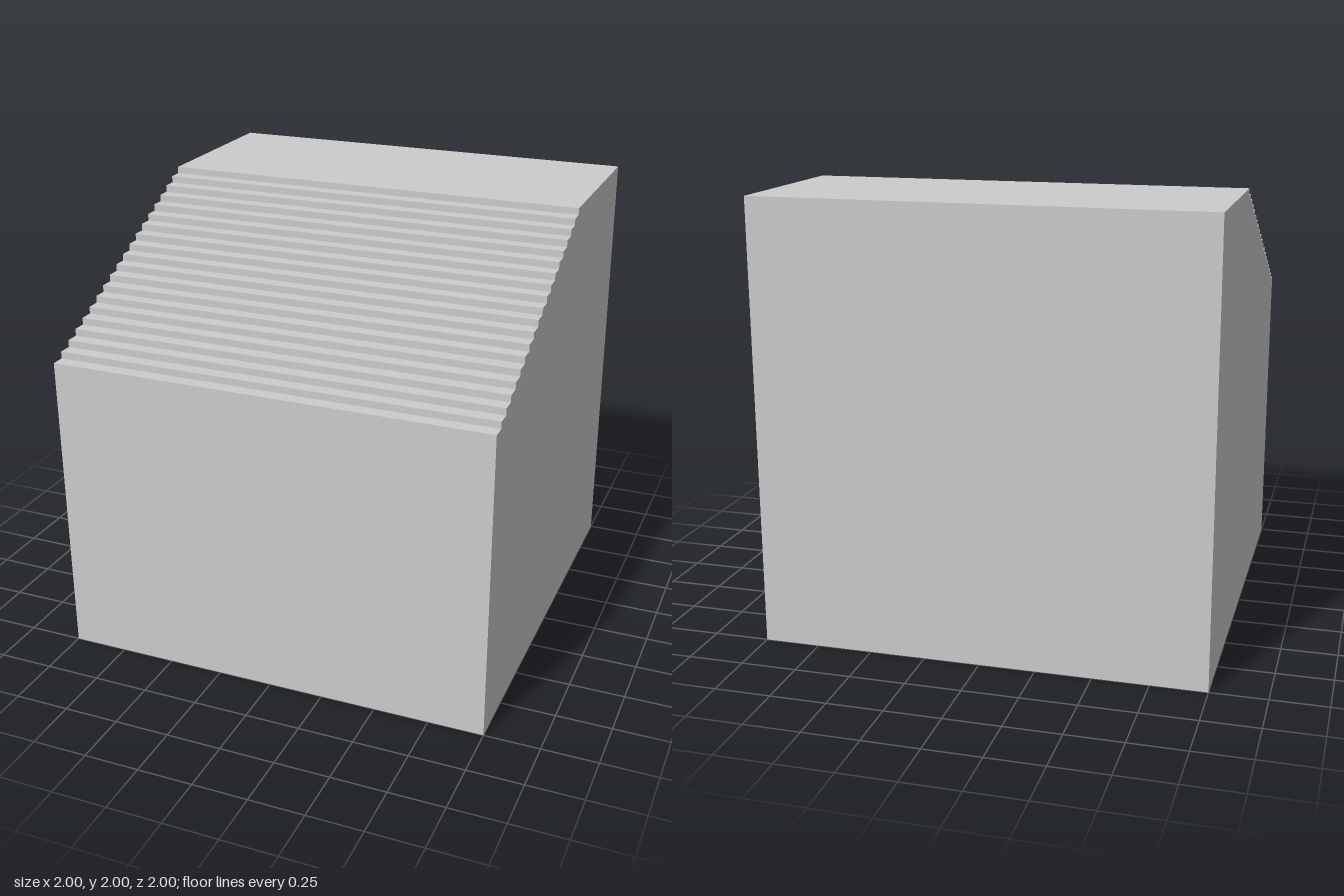
import * as THREE from 'three';

const SIZE = 2;      // width, height and depth of the block
const STEPS = 19;    // treads cut into the front upper edge
const TREAD = 1 / 16;
const RISER = 1 / 32;

export function createModel() {
  const group = new THREE.Group();
  group.name = 'steppedBlock';

  // Side profile, drawn with x = -z so it can be turned to run along x
  const half = SIZE / 2;
  const profile = new THREE.Shape();
  profile.moveTo(-half, 0);
  profile.lineTo(half, 0);
  profile.lineTo(half, SIZE);

  // Stairs descending from the flat top to the front face
  for (let i = STEPS; i > 0; i--) {
    const edge = -half + i * TREAD;
    const top = SIZE - (STEPS - i) * RISER;
    profile.lineTo(edge, top);
    profile.lineTo(edge, top - RISER);
  }
  profile.lineTo(-half, SIZE - STEPS * RISER);
  profile.closePath();

  const geometry = new THREE.ExtrudeGeometry(profile, { depth: SIZE, bevelEnabled: false });
  geometry.translate(0, 0, -half);
  geometry.rotateY(Math.PI / 2);

  const block = new THREE.Mesh(
    geometry,
    new THREE.MeshStandardMaterial({ color: 0xcccccc, flatShading: true })
  );
  block.name = 'blockWithStairs';
  group.add(block);
  return group;
}
